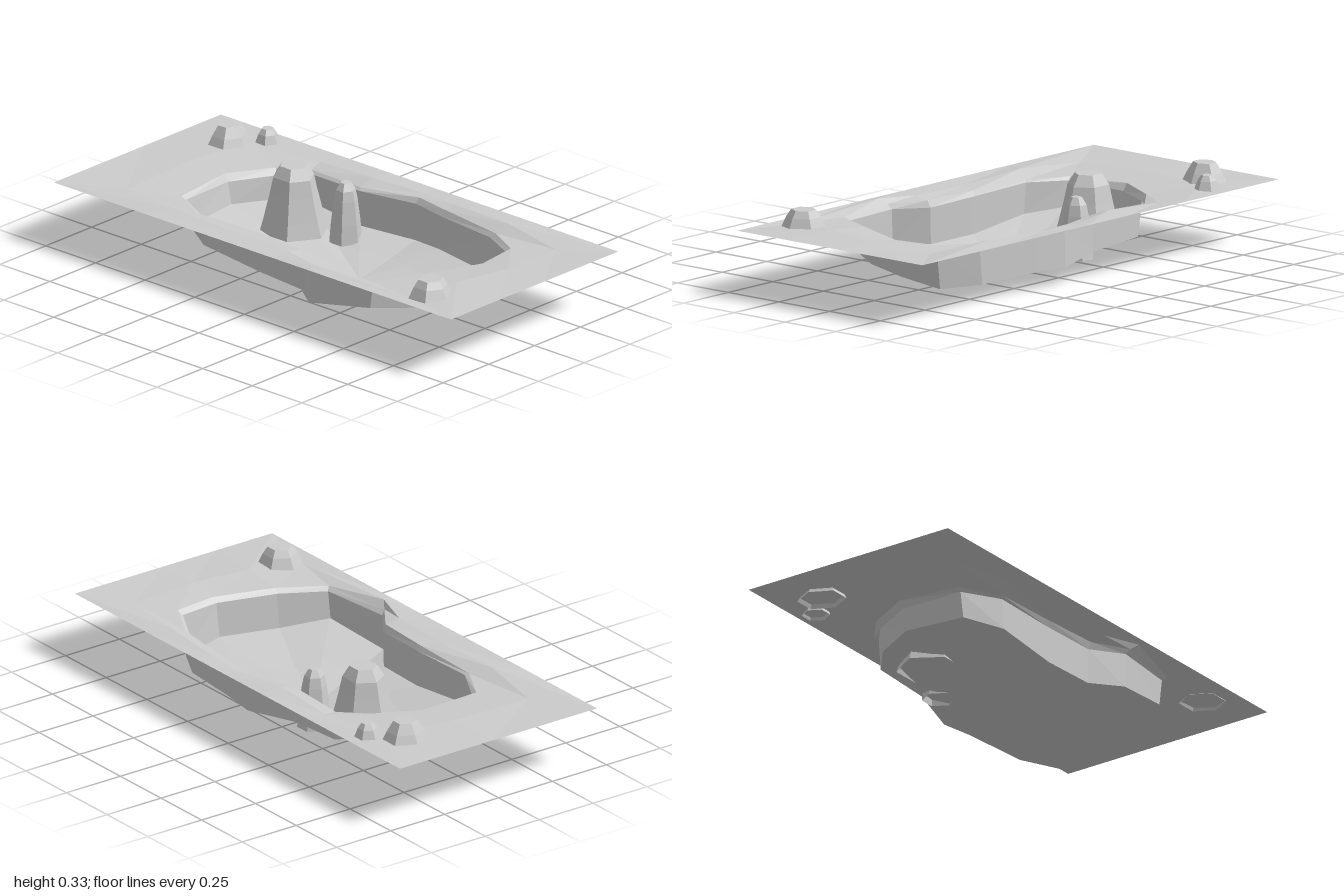
import * as THREE from 'three';

const grey = () => new THREE.MeshStandardMaterial({
  color: 0xcccccc, flatShading: true, side: THREE.DoubleSide,
});

// Basin outline, matching point on the outer border, and height of the wall foot
const OUTLINE = [
  // x, z, borderX, borderZ, footY
  [0.67, -0.05, 1, -0.05, 0.08],
  [0.59, 0.17, 1, 0.2, 0.085],
  [0.5, 0.34, 1, 0.457, 0.11],
  [0.22, 0.38, 0.3, 0.457, 0.07],
  [0.1, 0.295, 0.1, 0.457, 0.065],
  [-0.13, 0.28, -0.2, 0.457, 0.07],
  [-0.42, 0.28, -0.55, 0.457, 0.1],
  [-0.57, 0.2, -1, 0.457, 0.115],
  [-0.59, -0.05, -1, -0.03, 0.12],
  [-0.5, -0.22, -1, -0.457, 0.115],
  [-0.4, -0.3, -0.45, -0.457, 0.1],
  [-0.15, -0.29, -0.15, -0.457, 0.08],
  [0.08, -0.35, 0.08, -0.457, 0.065],
  [0.22, -0.335, 0.25, -0.457, 0.07],
  [0.5, -0.3, 0.55, -0.457, 0.06],
  [0.65, -0.22, 1, -0.457, 0.055],
];
const DEEPEST = [0.08, 0, -0.04];
const mix = THREE.MathUtils.lerp;

// Rings of points joined by quads; an optional centre point closes the last ring
function ringSurface(rings, centre) {
  const n = rings[0].length;
  const index = [];
  const points = rings.flat();
  for (let r = 0; r < rings.length - 1; r++) {
    for (let i = 0; i < n; i++) {
      const j = (i + 1) % n;
      const a = r * n + i, b = r * n + j, c = a + n, d = b + n;
      index.push(a, c, b, b, c, d);
    }
  }
  if (centre) {
    const base = (rings.length - 1) * n;
    points.push(centre);
    for (let i = 0; i < n; i++) index.push(base + i, points.length - 1, base + (i + 1) % n);
  }
  const g = new THREE.BufferGeometry();
  g.setAttribute('position', new THREE.Float32BufferAttribute(points.flat(), 3));
  g.setIndex(index);
  g.computeVertexNormals();
  return g;
}

// Six-sided boulder, open underneath; profile runs from base to top as [radius, y]
function boulder(name, x, z, depth, profile) {
  const pts = profile.map(([r, y]) => new THREE.Vector2(r, y));
  pts.push(new THREE.Vector2(0, profile[profile.length - 1][1]));
  const g = new THREE.LatheGeometry(pts, 6);
  g.rotateY(Math.PI / 6);
  g.scale(1, 1, depth);
  const mesh = new THREE.Mesh(g, grey());
  mesh.name = name;
  mesh.position.set(x, 0, z);
  return mesh;
}

export function createModel() {
  const model = new THREE.Group();
  model.name = 'rockyBasin';

  // Ground sheet: flat border, slightly uneven middle, dipping rim
  const border = OUTLINE.map(([, , bx, bz]) => [bx, 0.24, bz]);
  const uneven = OUTLINE.map(([x, z, bx, bz], i) =>
    [mix(x, bx, 0.45), 0.241 + 0.008 * Math.sin(i * 2.4), mix(z, bz, 0.45)]);
  const rim = OUTLINE.map(([x, z], i) =>
    [x * 1.03, 0.228 + 0.005 * Math.sin(i * 1.7), z * 1.04]);
  const wallTop = OUTLINE.map(([x, z], i) => [x, 0.21 + 0.007 * Math.sin(i * 1.3), z]);
  const ground = new THREE.Mesh(ringSurface([border, uneven, rim, wallTop]), grey());
  ground.name = 'ground';
  model.add(ground);

  // Basin: steep wall, then a floor sloping to its deepest point
  const wallFoot = OUTLINE.map(([x, z, , , y]) => [x * 0.97, y, z]);
  const midFloor = OUTLINE.map(([x, z, , , y]) =>
    [mix(DEEPEST[0], x, 0.55), y * 0.5, mix(DEEPEST[2], z, 0.55)]);
  const wall = new THREE.Mesh(ringSurface([wallTop, wallFoot]), grey());
  wall.name = 'basinWall';
  const floor = new THREE.Mesh(ringSurface([wallFoot, midFloor], DEEPEST), grey());
  floor.name = 'basinFloor';
  model.add(wall, floor);

  // Tall boulders standing in the basin
  model.add(
    boulder('largeBasinBoulder', -0.32, -0.115, 0.92,
      [[0.14, 0.07], [0.122, 0.13], [0.098, 0.22], [0.083, 0.285], [0.055, 0.327]]),
    boulder('smallBasinBoulder', -0.145, -0.21, 1.05,
      [[0.062, 0.045], [0.056, 0.12], [0.045, 0.21], [0.037, 0.25], [0.02, 0.278]]),
  );

  // Low boulders on the ground
  model.add(
    boulder('backBoulder', -0.79, -0.275, 1.15,
      [[0.083, 0.228], [0.062, 0.275], [0.04, 0.315]]),
    boulder('backPebble', -0.69, -0.375, 1,
      [[0.053, 0.23], [0.036, 0.275], [0.022, 0.296]]),
    boulder('frontBoulder', 0.775, 0.325, 1.03,
      [[0.085, 0.232], [0.064, 0.277], [0.046, 0.304]]),
  );
  return model;
}
